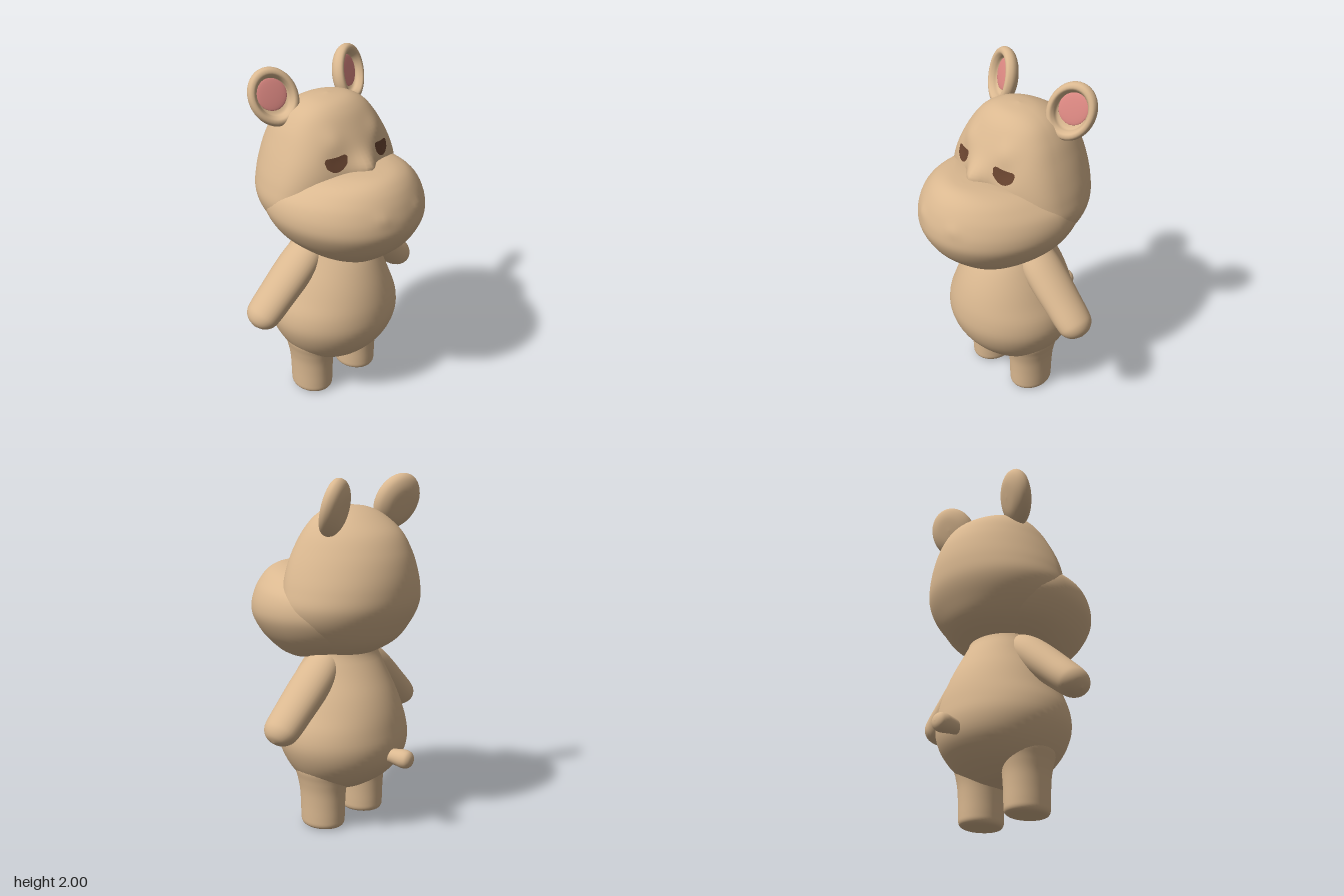
import * as THREE from 'three';

const tan = new THREE.MeshStandardMaterial({ name: 'tan skin', color: 0xdab890 });
const pink = new THREE.MeshStandardMaterial({ name: 'pink inner ear', color: 0xdf8a84 });
const brown = new THREE.MeshStandardMaterial({ name: 'dark brown eye', color: 0x6a4530, side: THREE.DoubleSide });

// Cross-sections from bottom to top: [y, half width, front z, back z, z of the widest point]
const CRANIUM = [
  [1.0, 0, -0.08, -0.08, -0.08], [1.005, 0.1, 0, -0.2, -0.09], [1.03, 0.2, 0.05, -0.285, -0.1],
  [1.1, 0.305, 0.1, -0.395, -0.1], [1.2, 0.39, 0.12, -0.465, -0.1], [1.3, 0.425, 0.15, -0.51, -0.1],
  [1.4, 0.408, 0.17, -0.52, -0.1], [1.5, 0.374, 0.17, -0.51, -0.1], [1.6, 0.33, 0.15, -0.48, -0.11],
  [1.7, 0.277, 0.1, -0.42, -0.12], [1.78, 0.21, 0.045, -0.315, -0.12], [1.825, 0.12, -0.02, -0.215, -0.12],
  [1.84, 0, -0.12, -0.12, -0.12],
];
const MUZZLE = [
  [0.945, 0, 0.19, 0.19, 0.19], [0.955, 0.11, 0.25, 0.08, 0.16], [0.98, 0.185, 0.292, -0.05, 0.12],
  [1.02, 0.27, 0.345, -0.2, 0.05], [1.1, 0.363, 0.43, -0.35, 0], [1.2, 0.425, 0.485, -0.42, -0.01],
  [1.28, 0.437, 0.49, -0.42, -0.02], [1.36, 0.412, 0.468, -0.32, -0.02], [1.42, 0.35, 0.438, -0.15, 0.03],
  [1.46, 0.28, 0.405, 0, 0.1], [1.485, 0.19, 0.37, 0.1, 0.18], [1.497, 0.1, 0.33, 0.19, 0.25],
  [1.5, 0, 0.28, 0.28, 0.28],
];
const BODY = [
  [0.2, 0, -0.075, -0.075], [0.212, 0.11, 0.03, -0.18], [0.25, 0.22, 0.12, -0.26], [0.31, 0.295, 0.19, -0.345],
  [0.4, 0.352, 0.255, -0.42], [0.5, 0.383, 0.29, -0.448], [0.6, 0.374, 0.29, -0.44], [0.7, 0.335, 0.27, -0.42],
  [0.8, 0.295, 0.235, -0.385], [0.9, 0.25, 0.185, -0.335], [1.0, 0.21, 0.115, -0.28], [1.08, 0.17, 0.08, -0.24],
  [1.1, 0, -0.08, -0.08],
].map((r) => [...r, (r[2] + r[3]) / 2]);

// Catmull-Rom blend of the section rows
function section(rows, t) {
  const n = rows.length - 1, i = Math.min(Math.floor(t), n - 1), f = t - i;
  const [a, b, c, d] = [rows[Math.max(i - 1, 0)], rows[i], rows[i + 1], rows[Math.min(i + 2, n)]];
  return b.map((_, k) => b[k] + 0.5 * f * (c[k] - a[k]
    + f * (2 * a[k] - 5 * b[k] + 4 * c[k] - d[k] + f * (3 * (b[k] - c[k]) + d[k] - a[k]))));
}

// Relief on the front: sockets, brows and nose bridge on the cranium, nostrils on the muzzle
const spot = (x, y, cx, cy, r, h) => h * Math.exp(-((Math.abs(x) - cx) ** 2 + (y - cy) ** 2) / (r * r));
const faceRelief = (x, y) => spot(x, y, 0.165, 1.56, 0.06, -0.01) + spot(x, y, 0.15, 1.67, 0.055, 0.01)
  + spot(x, y, 0, 1.5, 0.07, 0.07);
const nostrilRelief = (x, y) => spot(x, y, 0.13, 1.33, 0.035, 0.008);

// Front z for a section, where c is the cosine of the angle; flatness below 1 squares the front off
function frontZ([, , zf, , zc], c, x, y, flatness, relief) {
  return zc + (zf - zc) * c ** flatness + relief(x, y) * Math.min(1, c * 3);
}

function loft(rows, steps, around, flatness = 1, relief = () => 0) {
  const pos = [], idx = [], rings = (rows.length - 1) * steps;
  for (let i = 0; i <= rings; i++) {
    const s = section(rows, i / steps), [y, w, , zb, zc] = s;
    for (let j = 0; j < around; j++) {
      const a = (j / around) * Math.PI * 2, x = Math.max(w, 0) * Math.sin(a), c = Math.cos(a);
      pos.push(x, y, c > 0 ? frontZ(s, c, x, y, flatness, relief) : zc + (zc - zb) * c);
      if (i < rings) {
        const p = i * around + j, q = i * around + ((j + 1) % around);
        idx.push(p, q, p + around, q, q + around, p + around);
      }
    }
  }
  const g = new THREE.BufferGeometry();
  g.setAttribute('position', new THREE.Float32BufferAttribute(pos, 3));
  g.setIndex(idx);
  g.computeVertexNormals();
  return g;
}

const FACE_FLATNESS = 0.8;

// Front z of the cranium at a given x and y
function faceZ(x, y) {
  let lo = 0, hi = CRANIUM.length - 1;
  for (let k = 0; k < 30; k++) {
    const m = (lo + hi) / 2;
    if (section(CRANIUM, m)[0] < y) lo = m; else hi = m;
  }
  const s = section(CRANIUM, lo);
  return frontZ(s, Math.sqrt(Math.max(0, 1 - (x / s[1]) ** 2)), x, y, FACE_FLATNESS, faceRelief);
}

// Half-closed eye: a thin patch following the face, flat above and round below
function eyeGeometry(side) {
  const g = new THREE.PlaneGeometry(2, 1, 24, 10), p = g.attributes.position;
  for (let i = 0; i < p.count; i++) {
    const u = p.getX(i), v = 0.5 - p.getY(i);
    const x = 0.163 + 0.062 * u;
    const top = 1.584 - 0.008 * u + 0.01 * u * u - 0.02 * u ** 8;
    const y = top - v * 0.078 * Math.pow(Math.max(0, 1 - u * u), 0.35);
    p.setXYZ(i, side * x, y, faceZ(x, y) + 0.005);
  }
  if (side < 0) g.index.array.reverse();
  g.computeVertexNormals();
  return g;
}

// Turned shape with a smooth profile of [radius, height] points
function turned(points, seg = 40) {
  const curve = new THREE.SplineCurve(points.map(([r, y]) => new THREE.Vector2(r, y)));
  const smooth = curve.getPoints(points.length * 4);
  smooth.forEach((p) => { p.x = Math.max(p.x, 0); });
  return new THREE.LatheGeometry(smooth, seg);
}

function mesh(parent, name, geometry, material) {
  const m = new THREE.Mesh(geometry, material);
  m.name = name;
  parent.add(m);
  return m;
}

// Cupped ear facing +z, with a thick rounded rim
function ear(name, side) {
  const g = new THREE.Group();
  g.name = name;
  mesh(g, 'earShell', turned([[0, -0.058], [0.07, -0.052], [0.115, -0.028], [0.132, 0.006], [0.124, 0.036],
    [0.104, 0.042], [0.09, 0.024], [0.08, 0], [0.05, -0.01], [0, -0.012]]).rotateX(Math.PI / 2), tan);
  const lining = new THREE.SphereGeometry(0.082, 28, 12).scale(1, 0.88, 0.1);
  mesh(g, 'innerEar', lining, pink).position.set(0, 0.012, 0.002);
  g.scale.set(1.03, 1.25, 1);
  g.position.set(side * 0.27, 1.845, -0.252);
  g.rotation.set(-0.28, side * 0.36, side * -0.4, 'YXZ');
  return g;
}

export function createModel() {
  const model = new THREE.Group();
  model.name = 'hippo';
  mesh(model, 'head', loft(CRANIUM, 6, 80, FACE_FLATNESS, faceRelief), tan);
  mesh(model, 'muzzle', loft(MUZZLE, 6, 80, 1, nostrilRelief), tan);
  mesh(model, 'body', loft(BODY, 4, 56), tan);

  for (const [label, s] of [['left', 1], ['right', -1]]) {
    mesh(model, label + 'Eye', eyeGeometry(s), brown);
    model.add(ear(label + 'Ear', s));

    // Arm, from rounded hand up to the shoulder
    const arm = mesh(model, label + 'Arm', turned([[0, -0.336], [0.045, -0.322], [0.076, -0.286], [0.087, -0.235],
      [0.092, -0.12], [0.097, 0.02], [0.095, 0.14], [0.078, 0.24], [0.045, 0.29], [0, 0.305]], 32), tan);
    arm.scale.z = 1.25;
    arm.position.set(s * 0.335, 0.818, -0.083);
    arm.rotation.z = s * 0.857;

    // Leg with a soft-edged flat sole, widening into the hip
    const leg = mesh(model, label + 'Leg', turned([[0, 0.01], [0.07, 0.01], [0.098, 0.014], [0.112, 0.032],
      [0.115, 0.07], [0.117, 0.15], [0.122, 0.23], [0.134, 0.3], [0.148, 0.37], [0.13, 0.46], [0, 0.5]]), tan);
    leg.scale.z = 1.17;
    leg.position.set(s * 0.176, -0.008, -0.075);
  }

  // Stubby tail
  const tail = mesh(model, 'tail', turned([[0, -0.1], [0.036, -0.09], [0.042, 0], [0.049, 0.05], [0.053, 0.085],
    [0.046, 0.115], [0.026, 0.131], [0, 0.136]], 24), tan);
  tail.rotation.x = -Math.PI / 2;
  tail.position.set(0, 0.45, -0.44);
  return model;
}
